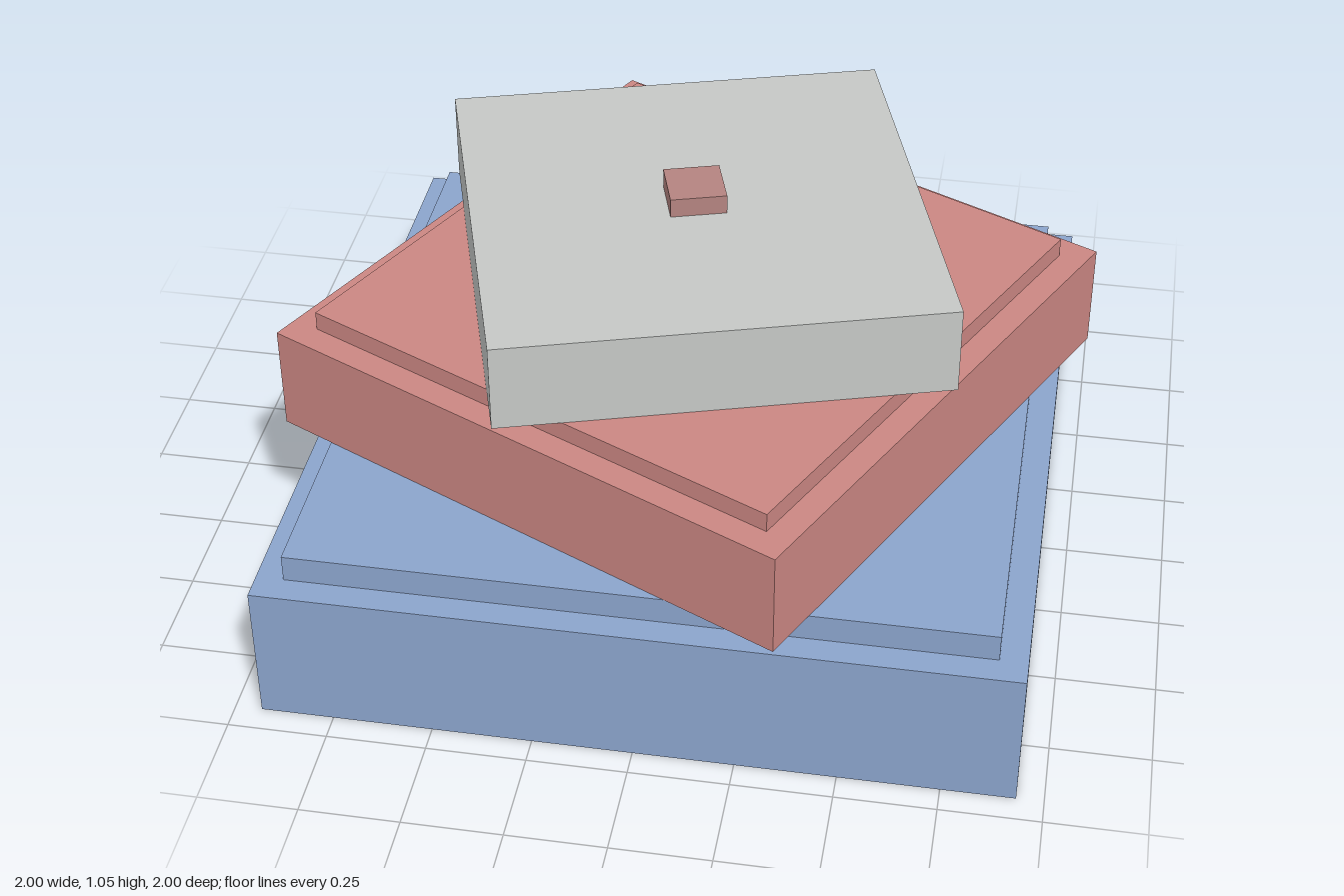
import * as THREE from 'three';

const material = (name, color) => {
  const m = new THREE.MeshStandardMaterial({ color });
  m.name = name;
  return m;
};

export function createModel() {
  const blue = material('soft blue', 0x8ba4cc);
  const red = material('dusty red', 0xcb8783);
  const grey = material('pale grey', 0xc5c8c6);
  const rose = material('muted rose', 0xb48480);

  const model = new THREE.Group();
  model.name = 'stackedBlocks';

  // Square slab spanning bottom to top, turned about the vertical axis
  const slab = (name, width, bottom, top, degrees, mat) => {
    const mesh = new THREE.Mesh(new THREE.BoxGeometry(width, top - bottom, width), mat);
    mesh.name = name;
    mesh.position.y = (bottom + top) / 2;
    mesh.rotation.y = THREE.MathUtils.degToRad(degrees);
    model.add(mesh);
  };

  // Base block with its raised step
  slab('baseBlock', 1.866, 0, 0.375, 0, blue);
  slab('baseStep', 1.728, 0.375, 0.446, 0, blue);

  // Middle block, turned clockwise from above
  slab('middleBlock', 1.497, 0.446, 0.725, -25.8, red);
  slab('middleStep', 1.356, 0.725, 0.775, -25.8, red);

  // Top block and knob, turned the other way
  slab('topBlock', 1.12, 0.775, 1.005, 17.2, grey);
  slab('topKnob', 0.141, 1.005, 1.055, 17.2, rose);

  return model;
}
